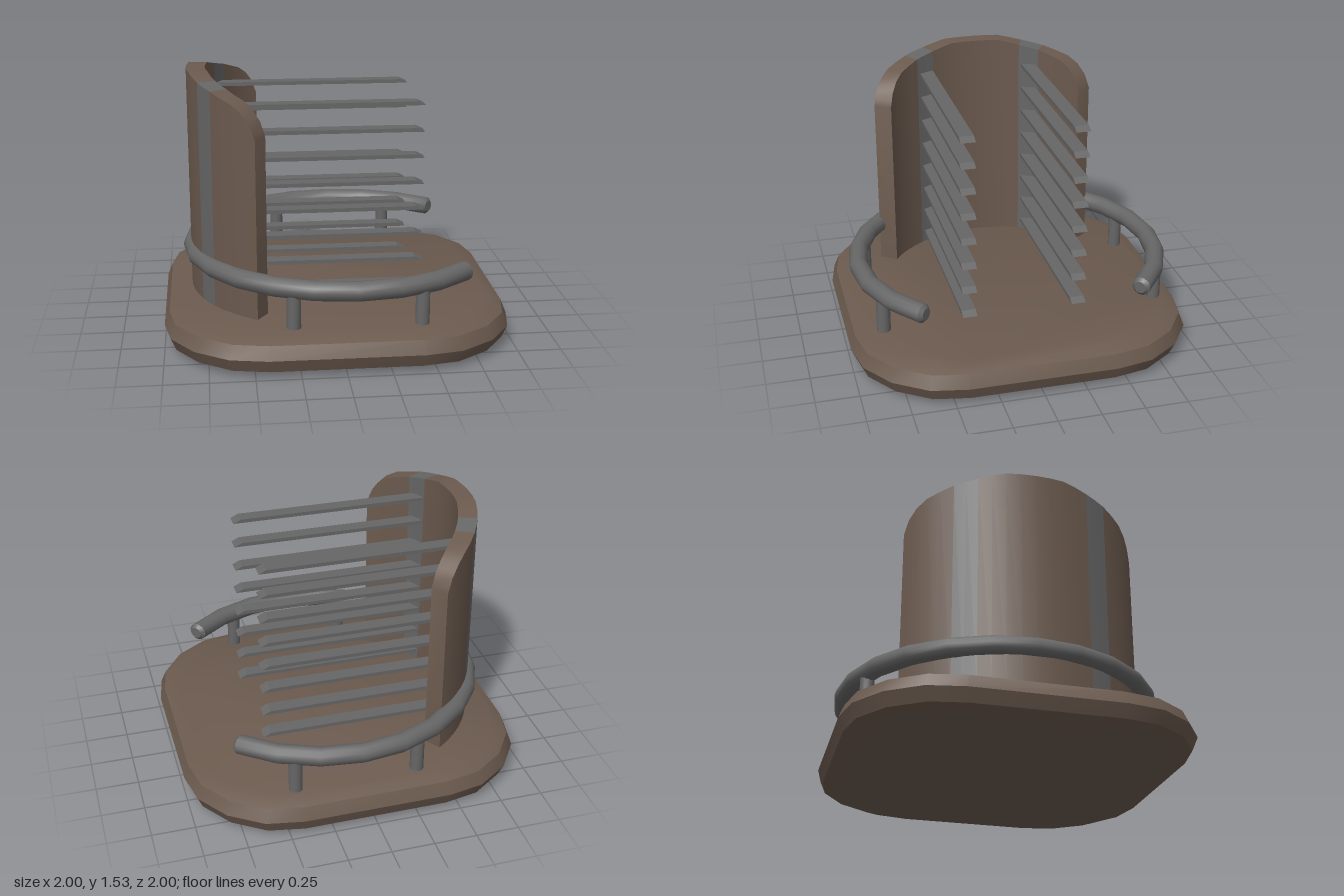
import * as THREE from 'three';
import { toCreasedNormals } from 'three/addons/utils/BufferGeometryUtils.js';

const wood = new THREE.MeshStandardMaterial({ color: 0x6b5a4e });
const metal = new THREE.MeshStandardMaterial({ color: 0x666666 });

// Skin a list of equal-sized convex rings and close both ends
function loft(rings, crease) {
  const n = rings[0].length, last = (rings.length - 1) * n, index = [];
  for (let i = 0; i < rings.length - 1; i++) {
    for (let j = 0; j < n; j++) {
      const a = i * n + j, b = i * n + (j + 1) % n;
      index.push(a, a + n, b, b, a + n, b + n);
    }
  }
  for (let j = 1; j < n - 1; j++) {
    index.push(0, j, j + 1, last, last + j + 1, last + j);
  }
  const g = new THREE.BufferGeometry();
  g.setAttribute('position', new THREE.Float32BufferAttribute(rings.flat(2), 3));
  g.setIndex(index);
  return toCreasedNormals(g, crease);
}

function add(parent, name, geometry, material, x = 0, y = 0, z = 0) {
  const mesh = new THREE.Mesh(geometry, material);
  mesh.name = name;
  mesh.position.set(x, y, z);
  parent.add(mesh);
  return mesh;
}

// Rounded-square plinth with bevelled rim
function baseGeometry() {
  const corner = [[1, 0.43], [0.96, 0.64], [0.83, 0.83], [0.64, 0.96], [0.43, 1]];
  const outline = [];
  for (let q = 0; q < 4; q++) {
    for (const [x, z] of corner) {
      outline.push([[x, z], [-z, x], [-x, -z], [z, -x]][q]);
    }
  }
  const profile = [[0.89, 0], [0.97, 0.035], [1, 0.11], [0.97, 0.187], [0.89, 0.22]];
  return loft(profile.map(([s, y]) => outline.map(([x, z]) => [x * s, y, z * s])), 0.6);
}

// Height of the curved back panel at an angle (degrees) from its middle
const heights = [[0, 1.53], [12, 1.53], [23, 1.5], [33, 1.475], [45, 1.43], [50, 1.39], [54, 1.33], [56.5, 1.25]];
function panelHeight(angle) {
  const a = Math.abs(angle);
  const k = Math.max(1, heights.findIndex(([d]) => d >= a));
  const [a0, h0] = heights[k - 1], [a1, h1] = heights[k];
  return THREE.MathUtils.mapLinear(a, a0, a1, h0, h1);
}

function panelGeometry(angles) {
  const rings = angles.map((deg) => {
    const a = THREE.MathUtils.degToRad(deg), top = panelHeight(deg);
    const at = (r, y) => [-0.02 - r * Math.cos(a), y, -0.01 + r * Math.sin(a)];
    return [at(0.71, 0.2), at(0.82, 0.2), at(0.82, top), at(0.71, top)];
  });
  return loft(rings, 0.5);
}

export function createModel() {
  const model = new THREE.Group();
  model.name = 'spikedStand';
  add(model, 'base', baseGeometry(), wood);

  // Curved panel: wood sections separated by two metal strips
  const panel = new THREE.Group();
  panel.name = 'curvedPanel';
  model.add(panel);
  const side = [33, 39, 45, 50, 52.5, 54, 55.5, 56.5];
  const strip = [23, 28, 33];
  const mirror = (list) => list.map((a) => -a).reverse();
  add(panel, 'panelMiddle', panelGeometry([-23, -17.5, -12, -6, 0, 6, 12, 17.5, 23]), wood);
  for (const flip of [false, true]) {
    add(panel, 'panelSide', panelGeometry(flip ? mirror(side) : side), wood);
    add(panel, 'panelStrip', panelGeometry(flip ? mirror(strip) : strip), metal);
  }

  // Two columns of horizontal blades with slanted tips
  const shape = new THREE.Shape([[-0.7, -0.011], [0.51, -0.011], [0.465, 0.011], [-0.7, 0.011]]
    .map(([x, y]) => new THREE.Vector2(x, y)));
  const blade = new THREE.ExtrudeGeometry(shape, { depth: 0.085, bevelEnabled: false });
  const blades = new THREE.Group();
  blades.name = 'blades';
  model.add(blades);
  for (let i = 0; i < 8; i++) {
    for (const z of [0.27, -0.385]) add(blades, 'blade', blade, metal, 0, 0.284 + i * 0.1545, z);
  }

  // Guard rail: three quarters of a ring with chamfered ends, on four posts
  const cx = 0.07, cz = -0.015, R = 0.9;
  const rail = new THREE.Group();
  rail.name = 'guardRail';
  rail.position.set(cx, 0, cz);
  model.add(rail);
  const ring = new THREE.TorusGeometry(R, 0.056, 12, 18, Math.PI * 1.5);
  ring.rotateZ(Math.PI / 4).rotateX(Math.PI / 2);
  add(rail, 'railTube', ring, metal, 0, 0.45, 0);
  const tip = toCreasedNormals(new THREE.CylinderGeometry(0.036, 0.056, 0.02, 12), 0.5);
  const post = toCreasedNormals(new THREE.CylinderGeometry(0.04, 0.04, 0.25, 12), 0.6);
  const d = Math.SQRT1_2;
  for (const s of [1, -1]) {
    const end = add(rail, 'railEnd', tip, metal, R * d + 0.007, 0.45, s * (R * d - 0.007));
    end.quaternion.setFromUnitVectors(new THREE.Vector3(0, 1, 0), new THREE.Vector3(d, 0, -s * d));
    for (const x of [-0.28, 0.435]) {
      add(rail, 'railPost', post, metal, x - cx, 0.325, s * 0.82);
    }
  }
  return model;
}
